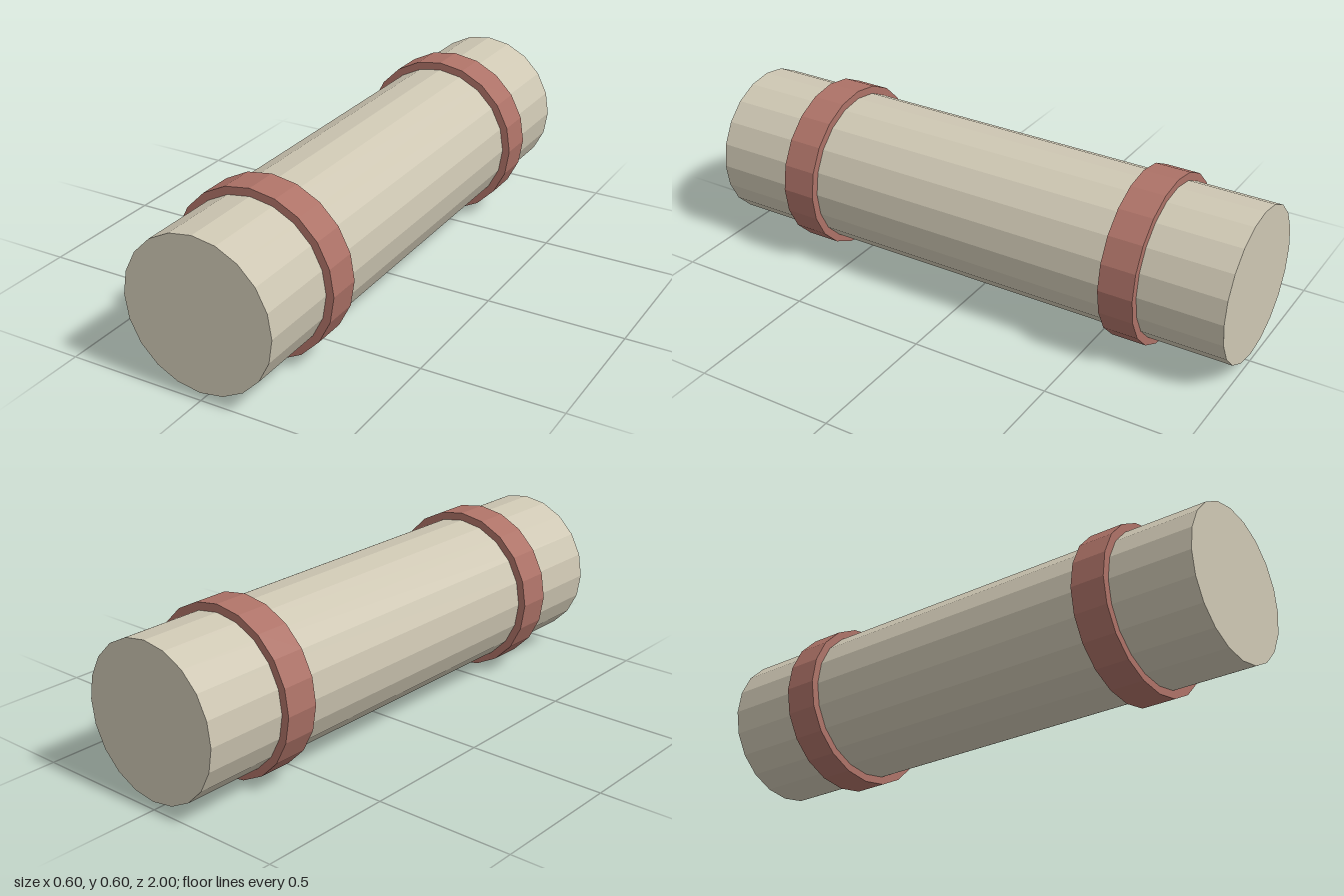
import * as THREE from 'three';

const SIDES = 20;
const AXIS_Y = 0.3;

export function createModel() {
  const model = new THREE.Group();
  model.name = 'bandedPipe';

  const stone = new THREE.MeshStandardMaterial({ color: 0xcec7b3, flatShading: true });
  stone.name = 'pale stone';
  const rust = new THREE.MeshStandardMaterial({ color: 0xad7267, flatShading: true });
  rust.name = 'rust red';

  // Faceted cylinder lying along z
  function addCylinder(name, radius, length, z, material) {
    const geometry = new THREE.CylinderGeometry(radius, radius, length, SIDES);
    geometry.rotateX(Math.PI / 2);
    const mesh = new THREE.Mesh(geometry, material);
    mesh.name = name;
    mesh.position.set(0, AXIS_Y, z);
    model.add(mesh);
  }

  // Main body
  addCylinder('body', 0.272, 2, 0, stone);

  // Raised bands near both ends
  addCylinder('frontBand', 0.3, 0.125, 0.636, rust);
  addCylinder('backBand', 0.3, 0.125, -0.636, rust);

  return model;
}
